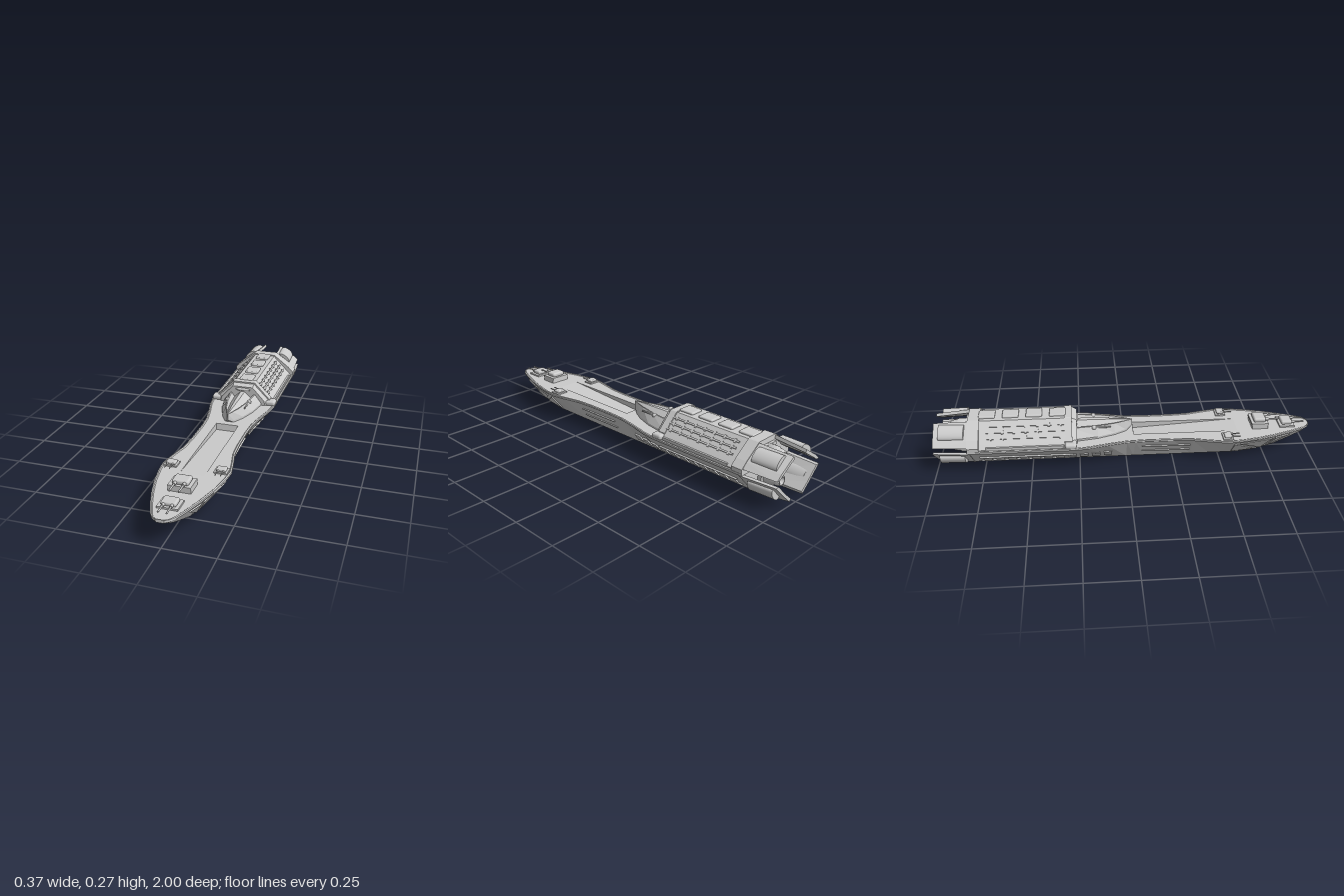
import * as THREE from 'three';
import { RoundedBoxGeometry } from 'three/addons/geometries/RoundedBoxGeometry.js';

const flat = new THREE.MeshStandardMaterial({ color: 0xcccccc, flatShading: true, side: THREE.DoubleSide });
const smooth = new THREE.MeshStandardMaterial({ color: 0xcccccc });
const V = (x, y, z) => new THREE.Vector3(x, y, z);

// Piecewise-linear lookup in a list of [z, value], z ascending
function lookup(table, z) {
  if (z <= table[0][0]) return table[0][1];
  for (let i = 1; i < table.length; i++) {
    const [z0, a] = table[i - 1], [z1, b] = table[i];
    if (z <= z1) return a + (b - a) * (z - z0) / (z1 - z0);
  }
  return table[table.length - 1][1];
}

// Skin over rings of points, closed at both ends
function loft(rings) {
  const p = [], n = rings[0].length;
  const quad = (a, b, c, d) => { for (const v of [a, b, c, a, c, d]) p.push(v.x, v.y, v.z); };
  for (let i = 0; i + 1 < rings.length; i++) for (let j = 0; j < n; j++) {
    const k = (j + 1) % n;
    quad(rings[i][j], rings[i][k], rings[i + 1][k], rings[i + 1][j]);
  }
  const first = rings[0], last = rings[rings.length - 1];
  for (let j = 0; j + 1 < n - 1 - j; j++) {
    quad(last[j], last[j + 1], last[n - 2 - j], last[n - 1 - j]);
    quad(first[n - 1 - j], first[n - 2 - j], first[j + 1], first[j]);
  }
  const g = new THREE.BufferGeometry();
  g.setAttribute('position', new THREE.Float32BufferAttribute(p, 3));
  g.computeVertexNormals();
  return g;
}

// Symmetric ring from the +x half, listed bottom to top
const sym = (half, z) => [...half.map(([x, y]) => V(x, y, z)), ...half.map(([x, y]) => V(-x, y, z)).reverse()];

function add(parent, name, geo, x = 0, y = 0, z = 0, rz = 0, mat = smooth) {
  const m = new THREE.Mesh(geo, mat);
  m.name = name;
  m.position.set(x, y, z);
  m.rotation.z = rz;
  parent.add(m);
  return m;
}
const box = (w, h, d) => new THREE.BoxGeometry(w, h, d);
const rod = (r0, r1, len, seg = 12) => new THREE.CylinderGeometry(r0, r1, len, seg).rotateX(Math.PI / 2);

// Hull outline: deck half width, keel half width, keel height, trench depth
const deckWidth = [[-0.82, .185], [-.27, .185], [-.2, .176], [-.1, .152], [0, .133], [.1, .128], [.25, .129], [.35, .135],
  [.45, .157], [.53, .172], [.6, .166], [.7, .148], [.8, .12], [.9, .085], [.96, .06], [.985, .042], [1, .02]];
const keelWidth = [[-.82, .065], [.7, .065], [.85, .06], [.96, .042], [1, .015]];
const keelHeight = [[-.82, .008], [.6, .008], [.75, .028], [.9, .088], [.96, .112], [1, .128]];
const trenchDepth = [[.04, 0], [.045, .035], [.6, 0]];

// Point on the slanted hull flank; t runs from keel (0) to deck edge (1)
function flank(z, t, out = 0) {
  const b = lookup(keelWidth, z), y = lookup(keelHeight, z), w = lookup(deckWidth, z);
  const dx = w - b, dy = .13 - y, l = Math.hypot(dx, dy);
  return V(b + dx * t + out * dy / l, y + dy * t - out * dx / l, z);
}
const flankPanel = (corners, out) => loft([-.003, out].map(o => corners.map(([z, t]) => flank(z, t, o))));

function hullRing(z) {
  const w = lookup(deckWidth, z), d = lookup(trenchDepth, z);
  const t = Math.min(.06, w * .5), lip = Math.min(.012, w * .2);
  return sym([[lookup(keelWidth, z), lookup(keelHeight, z)], [w - .003, .13], [w, .134], [w, .143],
    [w - lip * .6, .145], [w - lip, .141], [t, .141], [t, .141 - d]], z);
}

function turret(parent, x, y, z, s, name) {
  const g = new THREE.Group();
  g.name = name;
  g.position.set(x, y, z);
  g.scale.setScalar(s);
  add(g, 'turretBase', box(.11, .012, .09), 0, .004, 0);
  add(g, 'turretHousing', new RoundedBoxGeometry(.08, .025, .065, 3, .01), 0, .02, 0);
  for (const sx of [-.022, .022]) {
    add(g, 'barrelSleeve', rod(.008, .008, .03), sx, .02, .035);
    add(g, 'barrel', rod(.0045, .0045, .09, 8), sx, .02, .06);
  }
  parent.add(g);
}

// Everything that lies on the +x half
function buildSide() {
  const side = new THREE.Group();
  side.name = 'sideParts';

  // Flank windows, frame strips and bow plates
  for (let i = 0; i < 11; i++) {
    const z = -.1 - i * .063;
    add(side, 'flankWindow', flankPanel([[z - .022, .26], [z + .022, .26], [z + .022, .56], [z - .022, .56]], .006), 0, 0, 0, 0, flat);
  }
  for (const t of [.2, .6]) add(side, 'windowRail', flankPanel([[-.77, t], [-.28, t], [-.28, t + .03], [-.77, t + .03]], .007), 0, 0, 0, 0, flat);
  for (const t of [.36, .7]) add(side, 'midStrip', flankPanel([[.08, t], [.34, t], [.34, t + .04], [.08, t + .04]], .004), 0, 0, 0, 0, flat);
  for (const c of [[[.57, .1], [.71, .1], [.57, .88]], [[.6, .9], [.73, .14], [.78, .9]], [[.76, .15], [.88, .88], [.8, .88]]])
    add(side, 'bowPlate', flankPanel(c, .004), 0, 0, 0, 0, flat);

  // Rails and ribs on the sloping superstructure wall
  const a = Math.atan2(-.083, .082);
  for (const t of [.22, .5, .78]) {
    const x = .064 + .082 * t, y = .252 - .083 * t;
    add(side, 'wallRail', box(.009, .014, .41), x, y, -.525, a);
    for (let i = 0; i < 7; i++) add(side, 'wallRib', box(.02, .01, .012), x, y, -.345 - i * .06, a);
  }
  add(side, 'lowerLedge', box(.03, .012, .4), .155, .15, -.53);

  // Collar pods and wedge gun
  add(side, 'collarPod', new RoundedBoxGeometry(.08, .03, .06, 3, .012), .145, .152, -.295);
  add(side, 'wedgeGunMount', new THREE.SphereGeometry(.013, 14, 10), .062, .193, -.17);
  add(side, 'wedgeGun', rod(.004, .005, .09, 8), .062, .193, -.125);

  // Upper and lower tail plates with bulging covers
  const plate = pts => loft([[-1, -.014, .9], [-.81, 0, 1]].map(([z, dx, k]) => pts.map(([x, y]) => V(x + dx, .148 + (y - .148) * k, z))));
  add(side, 'upperTailPlate', plate([[.18, .165], [.152, .193], [.064, .257], [.058, .24], [.14, .18], [.158, .165]]), 0, 0, 0, 0, flat);
  add(side, 'lowerTailPlate', plate([[.065, .005], [.11, .05], [.186, .132], [.164, .132], [.1, .062], [.058, .022]]), 0, 0, 0, 0, flat);
  const cover = rod(1, 1, .13, 24).scale(.042, .022, 1);
  const upper = add(side, 'upperTailCover', cover, .104, .219, -.905, -.63);
  const lower = add(side, 'lowerTailCover', cover, .126, .075, -.905, .82);
  upper.rotation.y = .05;
  lower.rotation.y = .05;

  turret(side, .125, .143, .535, .6, 'deckTurret');
  return side;
}

export function createModel() {
  const ship = new THREE.Group();
  ship.name = 'spaceship';

  // Hull with a ramped trench in the deck
  const stations = [...deckWidth.map(e => e[0]), .04, .045].sort((p, q) => p - q);
  add(ship, 'hull', loft(stations.map(hullRing)), 0, 0, 0, 0, flat);

  // Superstructure block between two collars
  const wall = [[.17, .138], [.17, .145], [.148, .168], [.064, .252], [.06, .256]];
  add(ship, 'superstructure', loft([sym(wall, -.8), sym(wall, -.29),
    sym([[.13, .138], [.13, .145], [.125, .168], [.06, .238], [.057, .241]], -.26)]), 0, 0, 0, 0, flat);
  const collar = [[.183, .132], [.185, .164], [.152, .195], [.066, .26], [.06, .262]];
  add(ship, 'rearCollar', loft([sym(collar, -.825), sym(collar, -.765)]), 0, 0, 0, 0, flat);
  const frame = [[.155, .14], [.152, .17], [.066, .259], [.06, .261]];
  add(ship, 'frontCollar', loft([sym(frame, -.325), sym(frame, -.285)]), 0, 0, 0, 0, flat);
  add(ship, 'bridgeWindow', new THREE.SphereGeometry(1, 24, 12).scale(.048, .01, .014), 0, .225, -.265);

  // Roof pods
  for (let i = 0; i < 4; i++) add(ship, 'roofPod', new RoundedBoxGeometry(.075, .018, .085, 3, .007), 0, .2575, -.36 - i * .123);

  // Arrowhead in front of the superstructure
  const wedge = [[-.28, 1], [-.15, .8], [-.06, .52], [0, .22], [.035, .03]].map(([z, k]) => {
    const foot = z > .01 ? .165 : .14;
    return sym([[.112 * k, foot], [.112 * k, foot + .012], [.075 * k, .2], [.066 * k, .2], [.05 * k, .2 - .025 * k], [.012 * k, .2 + .012 * k]], z);
  });
  add(ship, 'forwardWedge', loft(wedge), 0, 0, 0, 0, flat);

  // Bow turrets
  turret(ship, 0, .141, .875, .9, 'bowTurret');
  add(ship, 'turretPedestal', box(.11, .026, .085), 0, .15, .725);
  turret(ship, 0, .162, .725, 1, 'raisedTurret');

  // Stacked engines between the tail plates
  const nozzle = new THREE.LatheGeometry([[0, 0], [.036, 0], [.036, .06], [.03, .068], [.03, .08], [.025, .1], [.018, .1], [.012, .08], [0, .08]]
    .map(([r, h]) => new THREE.Vector2(r, h)), 24).rotateX(-Math.PI / 2);
  const nozzleMat = smooth.clone();
  nozzleMat.side = THREE.DoubleSide;
  for (const y of [.2, .075]) add(ship, 'engine', nozzle, 0, y, -.82, 0, nozzleMat);
  add(ship, 'engineMount', box(.1, .2, .03), 0, .135, -.825);

  // Belly domes
  for (const z of [.58, .21, -.16, -.53])
    add(ship, 'bellyDome', new THREE.SphereGeometry(1, 24, 12).scale(.05, .008, .05), 0, .008, z);

  // Mirrored halves
  const left = buildSide(), right = buildSide();
  right.scale.x = -1;
  ship.add(left, right);
  return ship;
}
